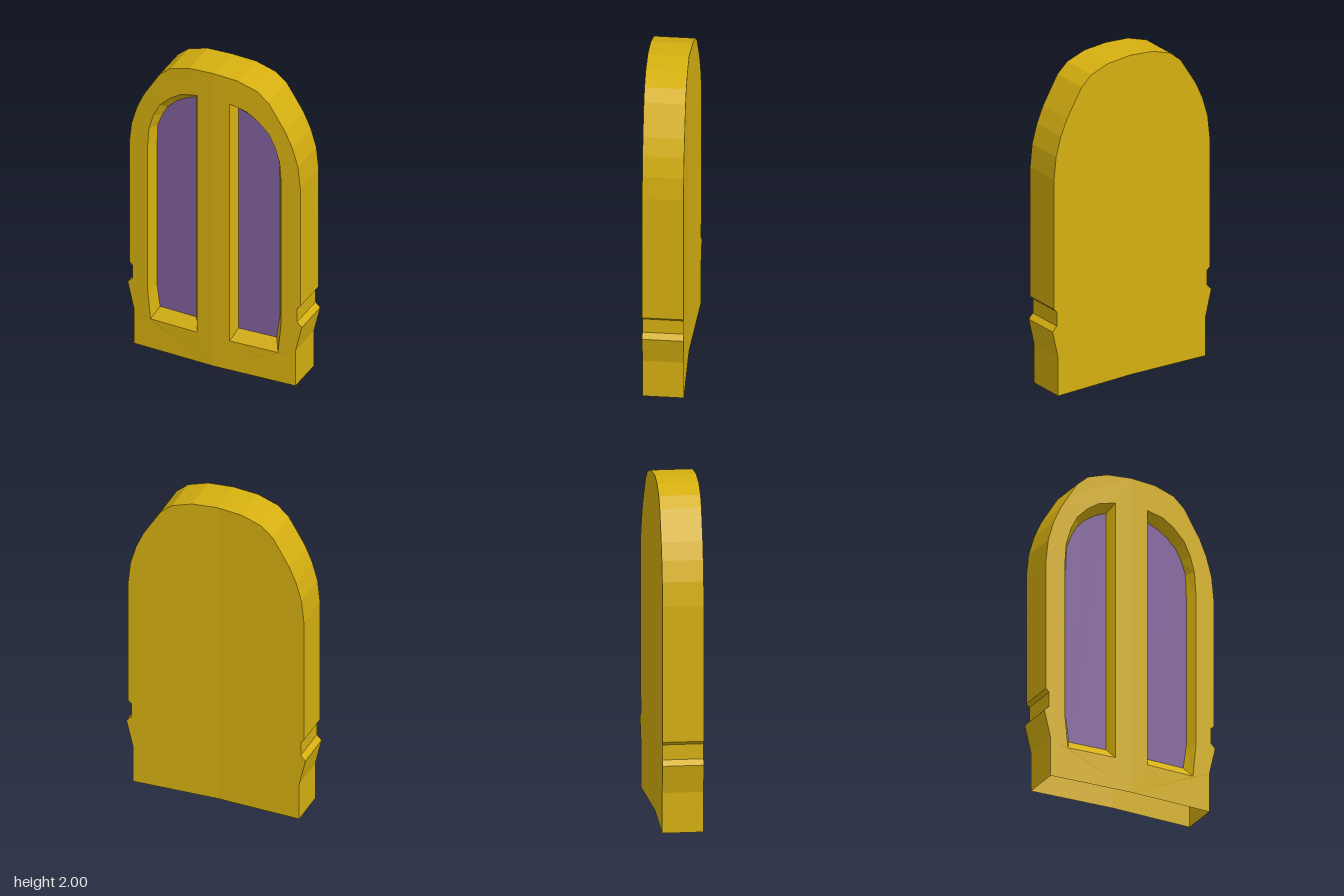
import * as THREE from 'three';

// Half profiles (x >= 0), counter-clockwise, mirrored for the other side
const OUTLINE = [[0.52, 0], [0.52, 0.24], [0.56, 0.41], [0.53, 0.44], [0.53, 0.53], [0.55, 0.55], [0.55, 1.36],
  [0.535, 1.5], [0.5, 1.62], [0.455, 1.72], [0.4, 1.81], [0.35, 1.89], [0.28, 1.95], [0.155, 1.99], [0, 2]];
const OPENING = [[0.105, 0.2], [0.41, 0.2], [0.43, 0.41], [0.43, 1.36], [0.42, 1.5], [0.39, 1.6],
  [0.35, 1.68], [0.28, 1.75], [0.21, 1.795], [0.105, 1.82]];
const PANE = [[0.135, 0.265], [0.375, 0.265], [0.395, 0.41], [0.395, 1.36], [0.39, 1.5], [0.36, 1.58],
  [0.325, 1.645], [0.27, 1.7], [0.2, 1.745], [0.135, 1.77]];

// Depth of the slightly bent front, back and recessed glass
const frontZ = x => 0.13 - 0.02 * Math.pow(Math.abs(x) / 0.55, 1.4);
const backZ = x => -0.11 - 0.02 * Math.abs(x) / 0.55;
const glassZ = x => frontZ(x) - 0.055;

const mirror = (pts, side) => pts.map(([x, y]) => [x * side, y]);
const vectors = pts => pts.map(([x, y]) => new THREE.Vector2(x, y));

// Flat face from a profile, bent in depth
function face(pts, zOf, hole, faceBack) {
  const shape = new THREE.Shape(vectors(pts));
  if (hole) shape.holes.push(new THREE.Path(vectors(hole)));
  const geo = new THREE.ShapeGeometry(shape).toNonIndexed();
  const p = geo.attributes.position;
  for (let i = 0; i < p.count; i++) p.setZ(i, zOf(p.getX(i)));
  if (faceBack) {
    for (let i = 0; i < p.count; i += 3) {
      const a = new THREE.Vector3().fromBufferAttribute(p, i);
      const b = new THREE.Vector3().fromBufferAttribute(p, i + 1);
      p.setXYZ(i, b.x, b.y, b.z);
      p.setXYZ(i + 1, a.x, a.y, a.z);
    }
  }
  geo.computeVertexNormals();
  return geo;
}

// Wall joining two profiles with equal point counts
function wall(a, zA, b, zB, closed, flip) {
  const pos = [];
  const n = a.length;
  for (let i = 0; i < (closed ? n : n - 1); i++) {
    const j = (i + 1) % n;
    const at = (p, z) => [p[0], p[1], z(p[0])];
    const q = [at(a[i], zA), at(b[i], zB), at(b[j], zB), at(a[j], zA)];
    for (const k of flip ? [0, 2, 1, 0, 3, 2] : [0, 1, 2, 0, 2, 3]) pos.push(...q[k]);
  }
  const geo = new THREE.BufferGeometry();
  geo.setAttribute('position', new THREE.Float32BufferAttribute(pos, 3));
  geo.computeVertexNormals();
  return geo;
}

export function createModel() {
  const group = new THREE.Group();
  const frameMat = new THREE.MeshStandardMaterial({ color: 0xd6b010, side: THREE.DoubleSide });
  frameMat.name = 'golden frame';
  const glassMat = new THREE.MeshStandardMaterial({ color: 0x80609d, side: THREE.DoubleSide });
  glassMat.name = 'violet glass';

  const add = (name, geo, mat) => {
    const mesh = new THREE.Mesh(geo, mat);
    mesh.name = name;
    group.add(mesh);
  };

  for (const side of [1, -1]) {
    const label = side > 0 ? 'left' : 'right';
    const outline = mirror(OUTLINE, side);
    const half = [[0, 0], ...outline];
    const opening = mirror(OPENING, side);
    const pane = mirror(PANE, side);
    const flip = side < 0;

    // Hollow shell, open underneath
    add(label + 'FrontFrame', face(half, frontZ, opening), frameMat);
    add(label + 'BackPanel', face(half, backZ, null, true), frameMat);
    add(label + 'OuterRim', wall(outline, frontZ, outline, backZ, false, flip), frameMat);

    // Bevelled recess and glass
    add(label + 'WindowBevel', wall(opening, frontZ, pane, glassZ, true, !flip), frameMat);
    add(label + 'WindowPane', face(pane, glassZ), glassMat);
  }
  return group;
}
